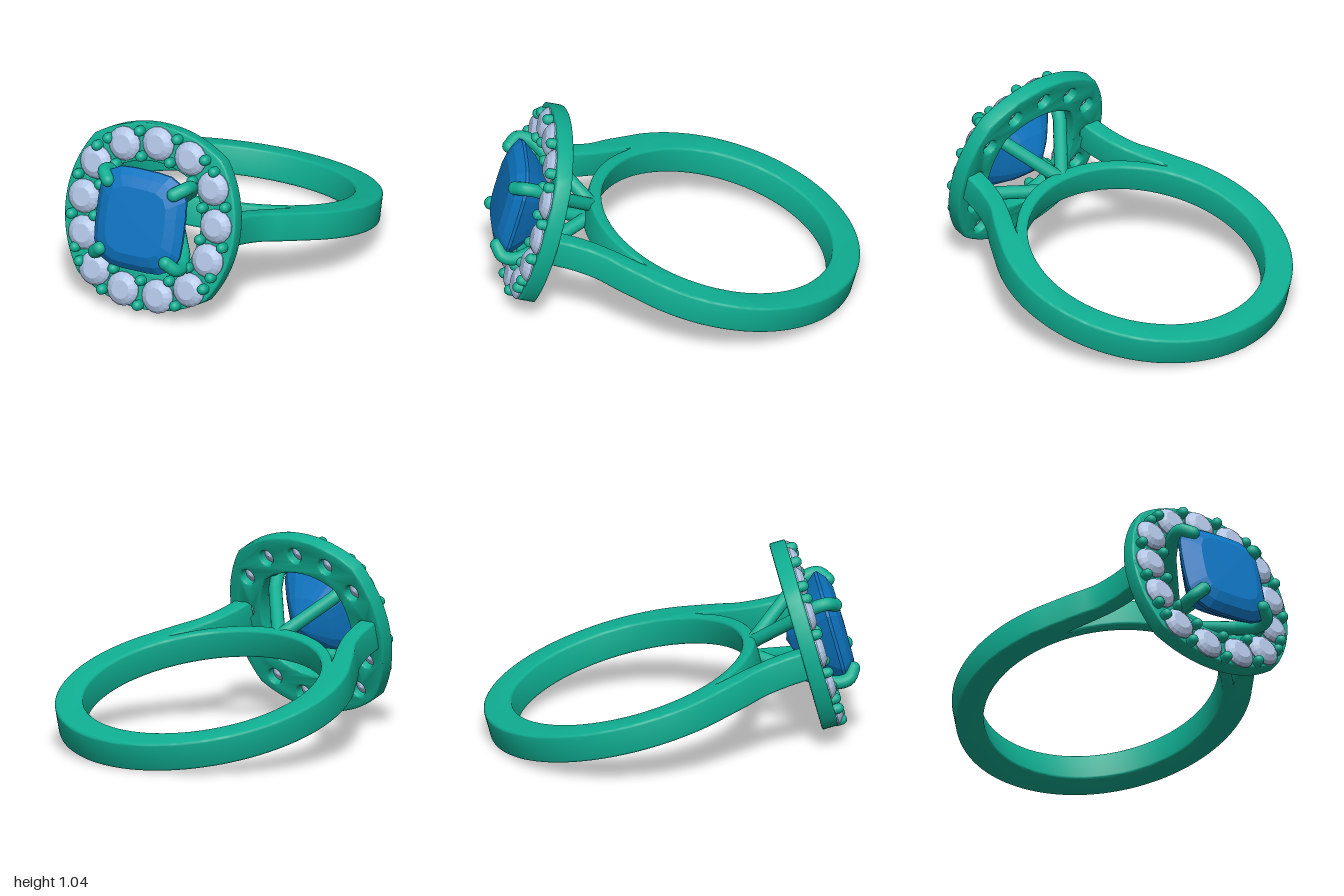
import * as THREE from 'three';
import { toCreasedNormals } from 'three/addons/utils/BufferGeometryUtils.js';

const metal = new THREE.MeshStandardMaterial({ color: 0x0fae92 });
const blue = new THREE.MeshStandardMaterial({ color: 0x0d74c0, flatShading: true });
const pale = new THREE.MeshStandardMaterial({ color: 0xb0c4e4, flatShading: true });

function add(parent, name, geometry, material) {
  const mesh = new THREE.Mesh(geometry, material);
  mesh.name = name;
  parent.add(mesh);
  return mesh;
}

// Extrusion with slightly softened rims, from z = 0 to z = depth
function slab(shape, depth, bevel) {
  const geo = new THREE.ExtrudeGeometry(shape, {
    depth: depth - 2 * bevel, curveSegments: 40,
    bevelEnabled: true, bevelSize: bevel, bevelThickness: bevel, bevelOffset: -bevel, bevelSegments: 3,
  });
  geo.translate(0, 0, bevel);
  return toCreasedNormals(geo, 0.6);
}

// Cut stone: an outline scaled and stacked through [scale, z] levels, top to bottom
function cutStone(sides, outline, levels) {
  const pos = [], index = [];
  for (const [scale, z] of levels)
    for (let i = 0; i < sides; i++) {
      const [x, y] = outline((i / sides) * Math.PI * 2);
      pos.push(x * scale, y * scale, z);
    }
  for (let k = 0; k < levels.length - 1; k++)
    for (let i = 0; i < sides; i++) {
      const j = (i + 1) % sides;
      const a = k * sides + i, b = k * sides + j, c = a + sides, d = b + sides;
      index.push(a, c, d, a, d, b);
    }
  const geo = new THREE.BufferGeometry();
  geo.setAttribute('position', new THREE.Float32BufferAttribute(pos, 3));
  geo.setIndex(index);
  const flat = geo.toNonIndexed();
  flat.computeVertexNormals();
  return flat;
}

// Cushion outline: four shallow arcs meeting at soft corners
function cushion(target, half, corner) {
  const n = 20, bulge = half - corner;
  const R = (corner * corner + bulge * bulge) / (2 * bulge);
  const sweep = Math.asin(corner / R), pts = [];
  for (let q = 0; q < 4; q++)
    for (let i = 0; i < n; i++) {
      const a = -sweep + (2 * sweep * i) / n;
      const p = new THREE.Vector2(half - R + R * Math.cos(a), R * Math.sin(a));
      pts.push(p.rotateAround(new THREE.Vector2(), (q * Math.PI) / 2));
    }
  return target.setFromPoints(pts);
}

// Band: full hoop whose shoulders sweep forward to the head, with a thin bridge between
function bandShape() {
  const arc = (r, from, to, n) => Array.from({ length: n + 1 }, (_, i) => {
    const a = from + ((to - from) * i) / n;
    return new THREE.Vector2(r * Math.cos(a), r * Math.sin(a));
  });
  const curve = (pts) => new THREE.SplineCurve(pts.map((p) => new THREE.Vector2(...p))).getPoints(16);
  const mirror = (pts) => pts.map((p) => new THREE.Vector2(-p.x, p.y)).reverse();
  const join = 0.56, fork = 0.67;
  const outer = curve([[0.81 * Math.cos(join), 0.81 * Math.sin(join)], [0.605, 0.57], [0.535, 0.68], [0.495, 0.81], [0.48, 0.94]]);
  const inner = curve([[0.38, 0.94], [0.385, 0.85], [0.415, 0.72], [0.475, 0.58], [0.705 * Math.cos(fork), 0.705 * Math.sin(fork)]]);
  const bridge = arc(0.705, fork, Math.PI - fork, 48);
  const hoop = arc(0.81, Math.PI - join, 2 * Math.PI + join, 96);
  const shape = new THREE.Shape([
    ...outer, ...inner, ...bridge.slice(1, -1), ...mirror(inner), ...mirror(outer), ...hoop.slice(1, -1),
  ]);
  const hole = new THREE.Path();
  hole.absellipse(0, -0.01, 0.655, 0.645, 0, Math.PI * 2, true);
  shape.holes.push(hole);
  return shape;
}

export function createModel() {
  const model = new THREE.Group();
  model.name = 'ring';
  // The ring lies on its hoop, tipped back by the weight of the head
  const ring = new THREE.Group();
  ring.name = 'tiltedRing';
  ring.rotation.x = -Math.PI / 12;
  ring.position.set(0, 0.29, -0.195);
  model.add(ring);

  const bandGeo = slab(bandShape(), 0.16, 0.014);
  bandGeo.translate(0, 0, -0.08).rotateX(Math.PI / 2);
  add(ring, 'band', bandGeo, metal);

  // Halo stone centres, clockwise from the top
  const half = [[0.2, 0.37], [0.355, 0.235], [0.4, 0.034], [0.375, -0.163], [0.285, -0.345], [0.105, -0.42]];
  const centres = [[0, 0.41], ...half, ...half.map(([x, y]) => [-x, y]).reverse()];

  // Halo plate with a cushion opening and a small hole behind each stone
  const plate = cushion(new THREE.Shape(), 0.512, 0.388);
  plate.holes.push(cushion(new THREE.Path(), 0.305, 0.235));
  for (const [x, y] of centres) {
    const hole = new THREE.Path();
    hole.absarc(x, y, 0.043, 0, Math.PI * 2, true);
    plate.holes.push(hole);
  }
  add(ring, 'haloPlate', slab(plate, 0.09, 0.01), metal).position.z = 0.918;

  // Halo stones
  const round = (a) => [0.094 * Math.cos(a), 0.094 * Math.sin(a)];
  const stoneGeo = cutStone(16, round, [[0, 0.04], [0.55, 0.04], [0.85, 0.022], [1, 0.005], [1, -0.003], [0.4, -0.05], [0, -0.07]]);
  centres.forEach(([x, y], i) => {
    const stone = add(ring, 'haloStone', stoneGeo, pale);
    stone.position.set(x, y, 1.01);
    stone.rotation.z = i * 0.48;
  });

  // Beads holding the halo stones, inside and outside each gap
  const beadGeo = new THREE.CapsuleGeometry(0.029, 0.03, 6, 14).rotateX(Math.PI / 2);
  const bead = (x, y) => add(ring, 'bead', beadGeo, metal).position.set(x, y, 1.018);
  centres.forEach(([x, y], i) => {
    const [x2, y2] = centres[(i + 1) % centres.length];
    const mx = (x + x2) / 2, my = (y + y2) / 2;
    const len = Math.hypot(x2 - x, y2 - y);
    const tx = (x2 - x) / len, ty = (y2 - y) / len;
    bead(mx + ty * 0.068, my - tx * 0.068);
    const corner = [1, 4, 8, 11].includes(i);
    for (const s of corner ? [-0.04, 0.04] : [0])
      bead(mx - ty * 0.07 + tx * s, my + tx * 0.07 + ty * s);
  });

  // Centre stone
  const pillow = (a) => {
    const c = Math.cos(a), s = Math.sin(a);
    const r = Math.pow(Math.abs(c) ** 4 + Math.abs(s) ** 4, -0.25);
    return [0.265 * r * c, 0.28 * r * s];
  };
  add(ring, 'centreStone', cutStone(24, pillow, [
    [0, 1.19], [0.66, 1.187], [0.86, 1.163], [1, 1.125], [1, 1.108], [0.8, 1.04], [0.5, 0.95], [0.2, 0.885], [0, 0.865],
  ]), blue);

  // Four prongs rising from the bridge and hooking over the stone
  for (const sx of [-1, 1])
    for (const sy of [-1, 1]) {
      const prong = new THREE.Group();
      prong.name = 'prong';
      ring.add(prong);
      const p = [[0, 0.04, 0.68], [0.2, 0.175, 0.95], [0.245, 0.225, 1.06], [0.245, 0.225, 1.13], [0.2, 0.19, 1.17]]
        .map(([x, y, z]) => new THREE.Vector3(sx * x, sy * y, z));
      const path = new THREE.CurvePath();
      path.add(new THREE.LineCurve3(p[0], p[1]));
      path.add(new THREE.CatmullRomCurve3(p.slice(1)));
      add(prong, 'prongArm', new THREE.TubeGeometry(path, 40, 0.037, 14), metal);
      add(prong, 'prongTip', new THREE.SphereGeometry(0.037, 16, 12), metal).position.copy(p[4]);
    }
  return model;
}
